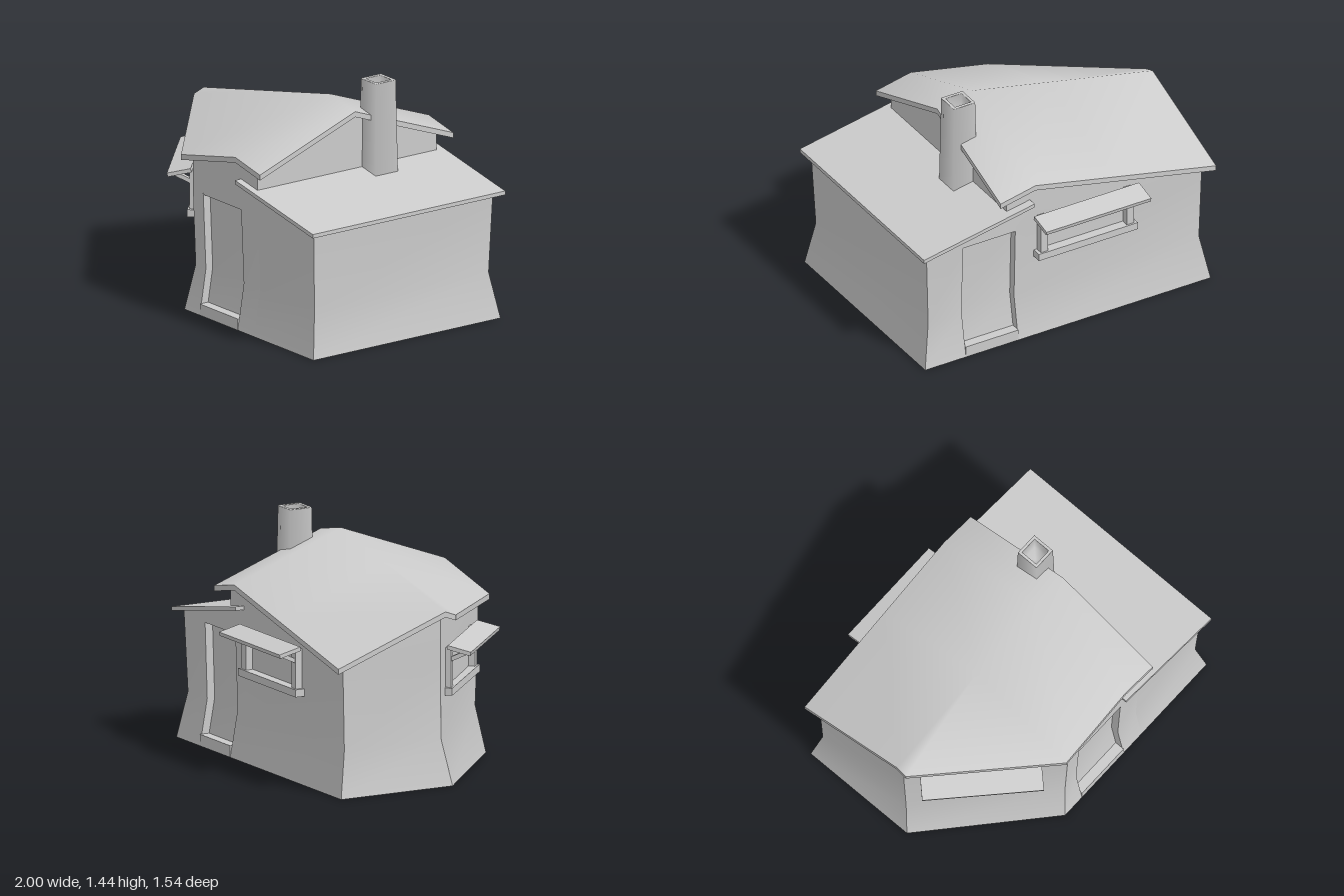
import * as THREE from 'three';

const material = new THREE.MeshStandardMaterial({ color: 0xcccccc, side: THREE.DoubleSide });

const add = (parent, geometry, name, x = 0, y = 0, z = 0, rx = 0) => {
  const mesh = new THREE.Mesh(geometry, material);
  mesh.name = name;
  mesh.position.set(x, y, z);
  mesh.rotation.x = rx;
  parent.add(mesh);
  return mesh;
};
const box = (w, h, d) => new THREE.BoxGeometry(w, h, d);

// Roof surfaces: a bent ridge with two slopes, and a single-pitch side roof
const lerp = (a, b, t) => a + (b - a) * t;
const ridgeY = (x) => (x < 0.24 ? lerp(1.06, 1.33, (x + 1) / 1.24) : lerp(1.33, 1.28, (x - 0.24) / 0.24));
const mainY = (x, z) => ridgeY(x) - 0.368 * Math.abs(z - 0.06);
const leanY = (x) => 0.93 - 0.19 * (x - 0.24);

// Grid of points (rows of equal length) turned into a smooth sheet
function pushSheet(pos, idx, rows) {
  const start = pos.length / 3, n = rows[0].length;
  rows.forEach((row) => row.forEach((p) => pos.push(...p)));
  for (let r = 0; r < rows.length - 1; r++) {
    for (let i = 0; i < n - 1; i++) {
      const a = start + r * n + i, b = a + 1, c = a + n, d = c + 1;
      idx.push(a, b, d, a, d, c);
    }
  }
}
function sheets(list) {
  const pos = [], idx = [];
  list.forEach((rows) => pushSheet(pos, idx, rows));
  const g = new THREE.BufferGeometry();
  g.setAttribute('position', new THREE.Float32BufferAttribute(pos, 3));
  g.setIndex(idx);
  g.computeVertexNormals();
  return g;
}

// Roof slab: top sheet, underside and a rim with hard edges
function slab(rows, thickness) {
  const drop = ([x, y, z]) => [x, y - thickness, z];
  const list = [rows, rows.map((r) => r.map(drop).reverse())];
  const last = rows.length - 1, end = rows[0].length - 1;
  const rim = [
    ...rows[0],
    ...rows.slice(1).map((r) => r[end]),
    ...rows[last].slice(0, end).reverse(),
    ...rows.slice(0, last).reverse().map((r) => r[0]),
  ];
  for (let i = 0; i < rim.length - 1; i++) {
    list.push([[drop(rim[i]), drop(rim[i + 1])], [rim[i], rim[i + 1]]]);
  }
  return sheets(list);
}

// Wall columns: plan position at base, waist and head, plus the height of the top
const LEVELS = [0, 0.28, 0.75];
const FRONT = [0.745, 0.70, 0.72], BACK = [-0.635, -0.585, -0.60];
const column = (xs, zs, top) => ({ xs, zs, top });
const all = (v) => [v, v, v];
function wall(columns, from = 0) {
  const rows = [];
  for (let l = from; l < 3; l++) rows.push(columns.map((c) => [c.xs[l], LEVELS[l], c.zs[l]]));
  if (columns[0].top) rows.push(columns.map((c) => [c.xs[2], c.top, c.zs[2]]));
  return rows;
}
const underMain = (xs, zs) => column(xs, zs, mainY(xs[2], zs[2]) - 0.025);
const underLean = (xs, zs) => column(xs, zs, leanY(xs[2]) - 0.015);

// Recessed doorway with a leaf, side jambs, head and threshold
function doorway(parent, x0, x1, zs, side, name) {
  const g = new THREE.Group();
  g.name = name;
  const inner = zs.map((z) => z - side * 0.05);
  const cols = [[x0, zs], [x0, inner], [x1, inner], [x1, zs]].map(([x, z]) => column(all(x), z, 0));
  if (side < 0) cols.reverse();
  const list = [];
  for (let i = 0; i < 3; i++) list.push(wall([cols[i], cols[i + 1]]));
  add(g, sheets(list), 'doorLeafAndJambs');
  const mid = (x0 + x1) / 2, w = x1 - x0;
  add(g, box(w, 0.01, 0.05), 'doorHead', mid, 0.745, zs[2] - side * 0.026);
  add(g, box(w, 0.07, 0.10), 'doorStep', mid, 0.035, zs[0] - side * 0.05);
  parent.add(g);
}

// Window surround: sill, two posts, struts and a tilted awning; +z points outward
function windowFrame(parent, x, z, turn, name) {
  const g = new THREE.Group();
  g.name = name;
  add(g, box(0.68, 0.045, 0.065), 'sill', 0, 0.543, 0.022);
  add(g, box(0.72, 0.024, 0.145), 'awning', 0, 0.798, 0.1, 0.23);
  for (const s of [-1, 1]) {
    add(g, box(0.05, 0.24, 0.045), 'post', s * 0.295, 0.685, 0.02);
    add(g, box(0.035, 0.025, 0.13), 'strut', s * 0.295, 0.755, 0.085, -0.43);
  }
  g.position.set(x, 0, z);
  g.rotation.y = turn;
  parent.add(g);
}

export function createModel() {
  const house = new THREE.Group();
  house.name = 'cottage';

  // Corners of the waisted wall plan
  const right = [0.98, 0.93, 0.95], left = [-0.98, -0.93, -0.94];
  const frontRight = underLean(right, FRONT);
  const backRight = underLean(right, BACK);
  const backLeft = underMain(left, BACK);
  const sideLeft = underMain(left, [0.12, 0.07, 0.06]);
  const frontLeft = underMain([-0.28, -0.23, -0.23], FRONT);
  const m = (x, zs) => underMain(all(x), zs);
  const l = (x, zs) => underLean(all(x), zs);
  const gableX = 0.40;

  add(house, sheets([
    wall([frontLeft, m(-0.13, FRONT)]),
    wall([m(-0.13, FRONT), m(0.24, FRONT)], 2),
    wall([m(0.24, FRONT), m(gableX, FRONT)]),
    wall([l(gableX, FRONT), frontRight]),
    wall([frontRight, backRight]),
    wall([backRight, l(0.70, BACK)]),
    wall([l(0.70, BACK), l(gableX, BACK)], 2),
    wall([m(gableX, BACK), m(0.34, BACK)], 2),
    wall([m(0.34, BACK), m(0.24, BACK), backLeft]),
    wall([backLeft, sideLeft]),
    wall([sideLeft, frontLeft]),
  ]), 'walls');

  // Gable wall rising above the side roof
  const gableZ = [0.72, 0.06, -0.60];
  add(house, sheets([[
    gableZ.map((z) => [gableX, 0.86, z]),
    gableZ.map((z) => [gableX, mainY(gableX, z) - 0.025, z]),
  ]]), 'gableWall');

  // Main roof with its front corner cut off
  const roofXs = [-1, -0.29, 0.24, 0.48];
  const roofRow = (zOf) => roofXs.map((x) => [x, mainY(x, zOf(x)), zOf(x)]);
  add(house, slab([
    roofRow((x) => (x === -1 ? 0.13 : 0.763)),
    roofRow(() => 0.06),
    roofRow(() => -0.665),
  ], 0.033), 'mainRoof');

  // Side roof
  add(house, slab([0.765, -0.655].map((z) => [0.24, 1].map((x) => [x, leanY(x), z])), 0.024), 'sideRoof');

  // Hollow square chimney, tapering slightly
  const r = Math.SQRT2;
  const flue = [[0.082, 0.87], [0.073, 1.435], [0.072, 1.44], [0.056, 1.44], [0.055, 1.435], [0.055, 1.30], [0, 1.30]];
  add(house, new THREE.LatheGeometry(flue.map(([a, y]) => new THREE.Vector2(a * r, y)), 4, Math.PI / 4),
    'chimney', 0.452, 0, -0.133);

  // Doors at front and back
  doorway(house, -0.13, 0.24, FRONT, 1, 'frontDoor');
  doorway(house, 0.34, 0.70, BACK, -1, 'backDoor');

  // Windows on the back wall and the cut corner
  windowFrame(house, -0.13, -0.60, Math.PI, 'backWindow');
  windowFrame(house, -0.603, 0.365, -0.76, 'cornerWindow');

  return house;
}
